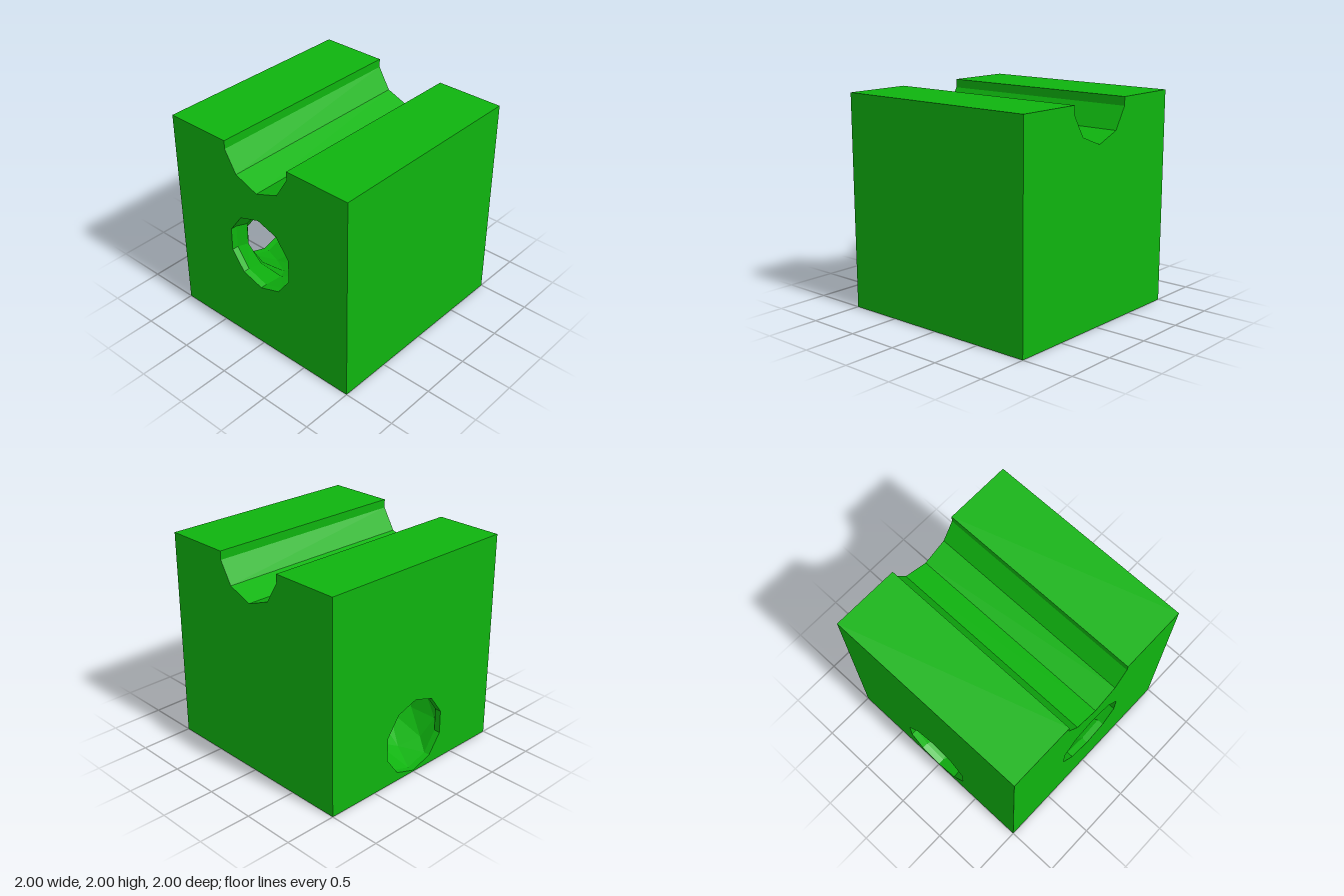
import * as THREE from 'three';

const R = 0.36, SIDES = 10;
const green = { color: 0x0fb40f, flatShading: true };
const solid = new THREE.MeshStandardMaterial(green);
const inner = new THREE.MeshStandardMaterial({ ...green, side: THREE.DoubleSide });

// Decagon corners, one corner pointing straight up
const decagon = (cx, cy) => Array.from({ length: SIDES }, (_, i) => {
  const a = (i / SIDES) * Math.PI * 2;
  return new THREE.Vector2(cx + R * Math.sin(a), cy + R * Math.cos(a));
});

// Flat-shaded geometry from a list of four-cornered faces
function quads(list) {
  const pos = [];
  for (const [a, b, c, d] of list) for (const p of [a, b, c, a, c, d]) pos.push(...p);
  const g = new THREE.BufferGeometry();
  g.setAttribute('position', new THREE.Float32BufferAttribute(pos, 3));
  g.computeVertexNormals();
  return g;
}

export function createModel() {
  const group = new THREE.Group();
  const add = (name, geometry, material = solid) => {
    const mesh = new THREE.Mesh(geometry, material);
    mesh.name = name;
    group.add(mesh);
  };

  // Block outline with a faceted groove along the top
  const groove = [[0.355, 2], [0.355, 1.92], [0.235, 1.72]];
  const outline = [
    [-1, 0], [1, 0], [1, 2], ...groove, [0, 1.63],
    ...groove.map(([x, y]) => [-x, y]).reverse(), [-1, 2],
  ];
  const toShape = (pts) => new THREE.Shape(pts.map(([x, y]) => new THREE.Vector2(x, y)));

  // Front face with the round tunnel mouth, and the plain back
  const front = toShape(outline);
  front.holes.push(new THREE.Path(decagon(0, 1)));
  add('frontFace', new THREE.ShapeGeometry(front).translate(0, 0, 1));
  add('backFace', new THREE.ShapeGeometry(toShape(outline)).rotateY(Math.PI).translate(0, 0, -1));

  // Right face with the low tunnel exit
  const exitY = 0.372;
  const side = toShape([[-1, 0], [1, 0], [1, 2], [-1, 2]]);
  side.holes.push(new THREE.Path(decagon(0, exitY)));
  add('rightFace', new THREE.ShapeGeometry(side).rotateY(-Math.PI / 2).translate(-1, 0, 0));

  // Bottom, left side, top and groove, swept from front to back
  const walls = [];
  for (let i = 0; i < outline.length - 1; i++) {
    const a = outline[i], b = outline[i + 1];
    walls.push([[...a, 1], [...a, -1], [...b, -1], [...b, 1]]);
  }
  add('blockWalls', quads(walls));

  // Tunnel: ring centres and their turn, curving down from the front to the right side
  const stations = [
    [0, 1, 1, 0], [0, 1, 0.94, 0], [-0.14, 0.83, 0.62, 12], [-0.38, 0.6, 0.34, 28],
    [-0.7, 0.44, 0.12, 60], [-0.94, exitY, 0, 90], [-1, exitY, 0, 90],
  ];
  const rings = stations.map(([x, y, z, deg]) => {
    const t = THREE.MathUtils.degToRad(deg);
    return decagon(0, 0).map((p) => [x + p.x * Math.cos(t), y + p.y, z - p.x * Math.sin(t)]);
  });
  const tunnel = [];
  for (let k = 0; k < rings.length - 1; k++) {
    for (let i = 0; i < SIDES; i++) {
      const j = (i + 1) % SIDES;
      tunnel.push([rings[k][i], rings[k][j], rings[k + 1][j], rings[k + 1][i]]);
    }
  }
  add('tunnel', quads(tunnel), inner);

  return group;
}
